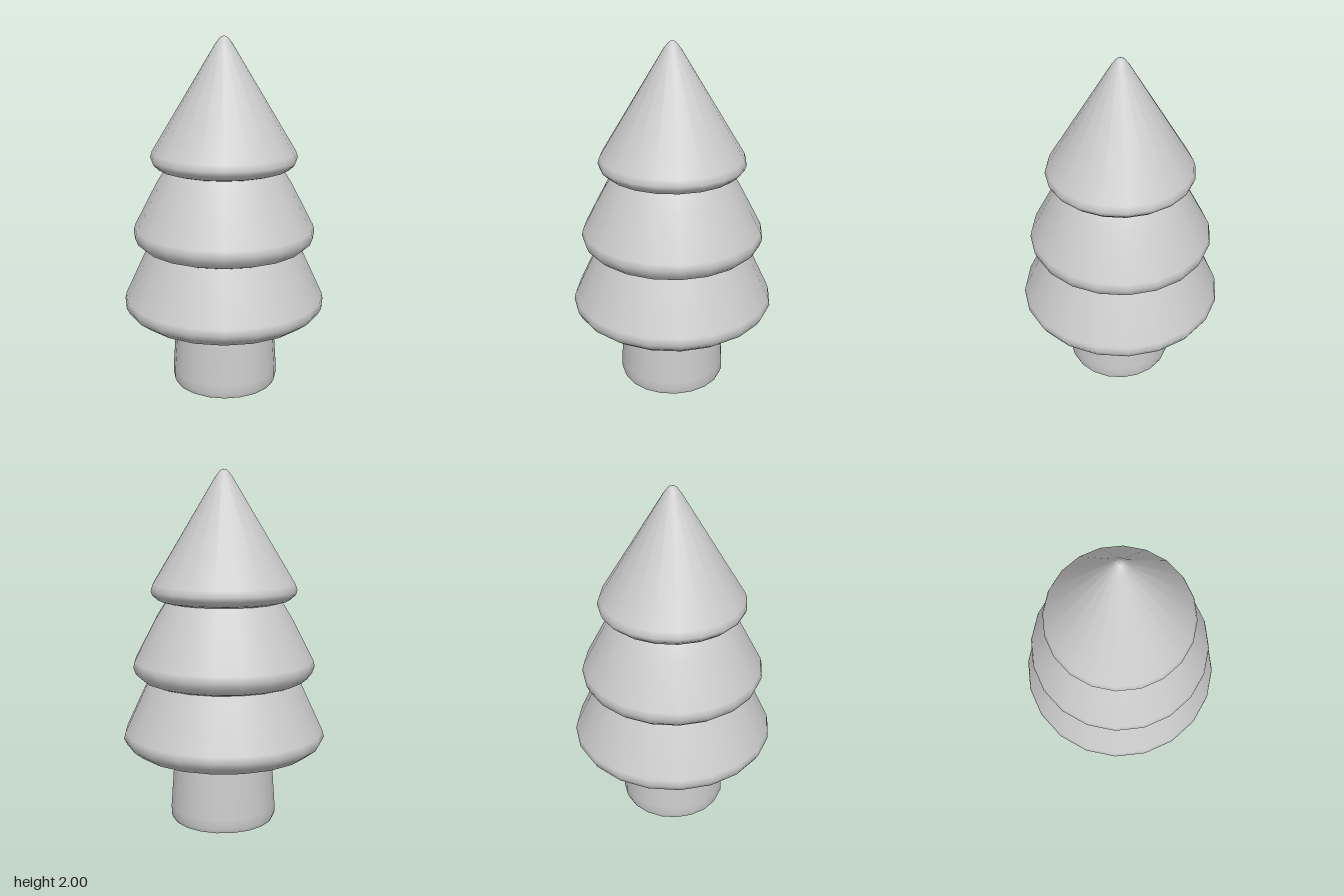
import * as THREE from 'three';

const SIDES = 20;

// Smooth turned part from a [radius, height] profile, listed bottom to top
function turned(name, profile, material) {
  const points = profile.map(([r, y]) => new THREE.Vector2(r, y));
  const mesh = new THREE.Mesh(new THREE.LatheGeometry(points, SIDES), material);
  mesh.name = name;
  return mesh;
}

export function createModel() {
  const tree = new THREE.Group();
  tree.name = 'pineTree';
  const material = new THREE.MeshStandardMaterial({ color: 0xcccccc });

  // Tapered trunk, slightly off centre; the repeated point keeps its foot sharp
  const trunk = turned('trunk', [
    [0, 0], [0.295, 0], [0.295, 0], [0.305, 0.025], [0.305, 0.08], [0.281, 0.42],
  ], material);
  trunk.position.x = 0.008;
  tree.add(trunk);

  // Bottom skirt of branches, its upper end hidden in the next one
  tree.add(turned('lowerBranches', [
    [0, 0.4], [0.44, 0.4], [0.505, 0.418], [0.558, 0.458], [0.578, 0.495],
    [0.57, 0.53], [0.435, 0.82], [0.4, 0.88], [0, 0.9],
  ], material));

  // Middle skirt
  tree.add(turned('middleBranches', [
    [0, 0.82], [0.43, 0.82], [0.47, 0.835], [0.503, 0.865], [0.518, 0.905],
    [0.51, 0.94], [0.383, 1.185], [0.33, 1.27], [0.29, 1.33], [0, 1.34],
  ], material));

  // Top cone with a rounded rim and a blunt tip
  tree.add(turned('topBranches', [
    [0, 1.27], [0.33, 1.27], [0.375, 1.283], [0.405, 1.31], [0.414, 1.335],
    [0.403, 1.37], [0.05, 1.955], [0.025, 1.988], [0.012, 1.998], [0, 2],
  ], material));

  return tree;
}
